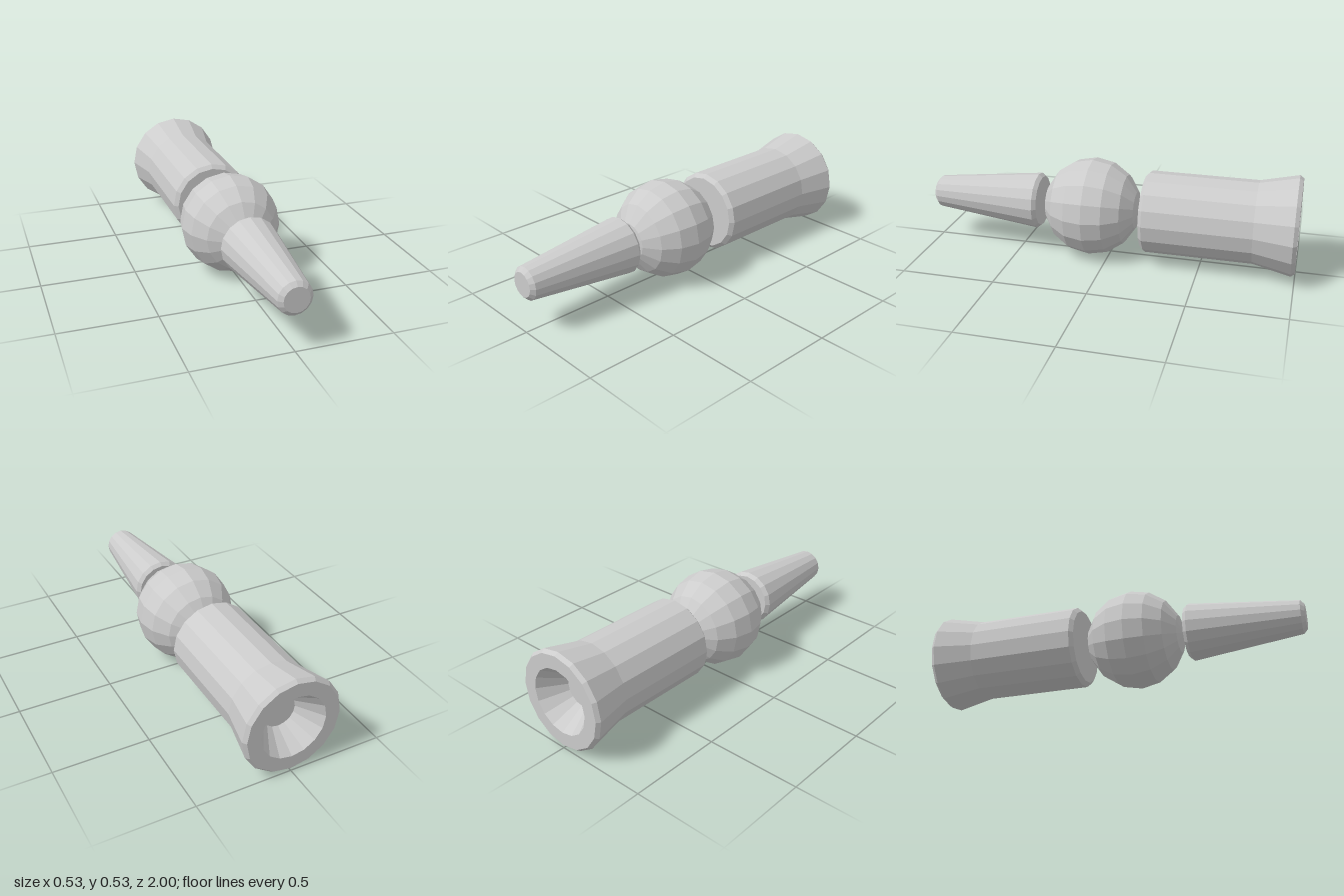
import * as THREE from 'three';

const SIDES = 16;
const AXIS_Y = 0.264;

export function createModel() {
  const group = new THREE.Group();
  const material = new THREE.MeshStandardMaterial({ color: 0xcccccc, flatShading: true });

  // Every part is turned around the long z axis
  const add = (name, geometry) => {
    const mesh = new THREE.Mesh(geometry.rotateX(Math.PI / 2), material);
    mesh.name = name;
    mesh.position.y = AXIS_Y;
    group.add(mesh);
    return mesh;
  };
  // Profile points are [radius, z], running from back to front
  const turned = (name, profile) =>
    add(name, new THREE.LatheGeometry(profile.map(([r, z]) => new THREE.Vector2(r, z)), SIDES));

  // Flared barrel with a conical recess in its back end
  turned('barrel', [
    [0, -0.87], [0.087, -0.87], [0.174, -1], [0.248, -1], [0.263, -0.98],
    [0.219, -0.78], [0.219, -0.21], [0.198, -0.19], [0, -0.19],
  ]);

  // Ball between the two turned parts
  add('ball', new THREE.SphereGeometry(0.263, SIDES, 8)).position.z = 0.1;

  // Tapered nose with bevelled ends
  turned('nose', [
    [0, 0.385], [0.135, 0.385], [0.152, 0.405], [0.087, 0.98], [0.065, 1], [0, 1],
  ]);

  return group;
}
